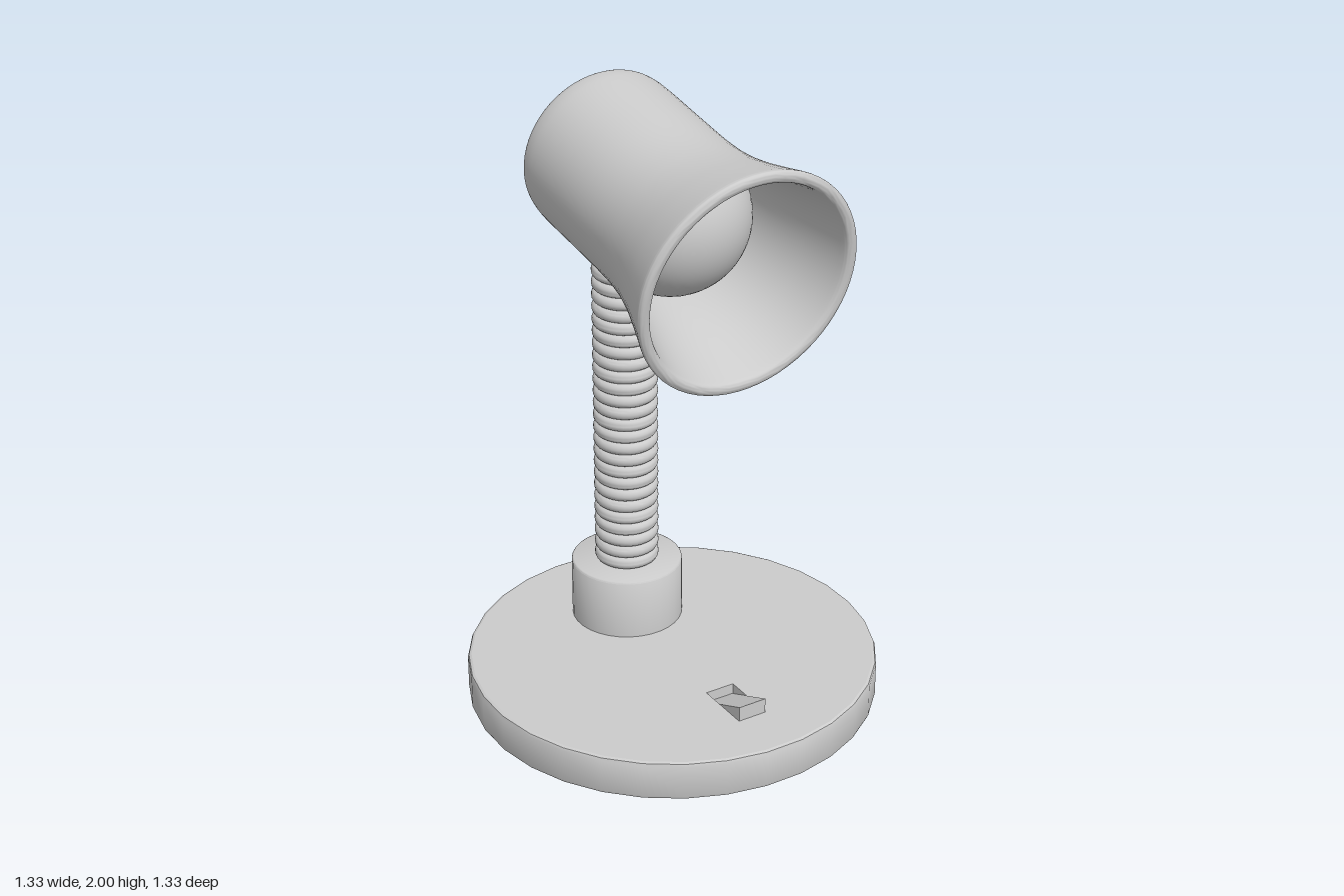
import * as THREE from 'three';
import { toCreasedNormals } from 'three/addons/utils/BufferGeometryUtils.js';

const grey = new THREE.MeshStandardMaterial({ color: 0xcccccc });
const greyInside = new THREE.MeshStandardMaterial({ color: 0xcccccc, side: THREE.BackSide });

const toPoints = (pairs) => pairs.map(([a, b]) => new THREE.Vector2(a, b));

function addMesh(parent, name, geometry, material = grey) {
  const mesh = new THREE.Mesh(geometry, material);
  mesh.name = name;
  parent.add(mesh);
  return mesh;
}

// Revolve [radius, height] pairs around the y axis, keeping hard edges sharp
function turned(pairs, sides, start = 0) {
  return toCreasedNormals(new THREE.LatheGeometry(toPoints(pairs), sides, start), 0.7);
}

// Smooth run of [radius, height] pairs through a few key points
function smoothRun(pairs, steps) {
  return new THREE.SplineCurve(toPoints(pairs)).getPoints(steps).map((p) => [p.x, p.y]);
}

export function createModel() {
  const model = new THREE.Group();
  model.name = 'deskLamp';

  // Round base with a slightly eased edge
  const sides = 32, half = Math.PI / sides, baseR = 0.67, topY = 0.133, ease = 0.012;
  addMesh(model, 'baseBody', turned([
    [0, 0], [baseR - ease, 0], [baseR - 0.0035, 0.0035], [baseR, ease],
    [baseR, topY - ease], [baseR - 0.0035, topY - 0.0035], [baseR - ease, topY],
  ], sides, half));

  // Base top with a rectangular opening for the switch
  const sw = { w: 0.05, back: 0.29, front: 0.48, floor: 0.05 };
  const disc = [];
  for (let i = 0; i < sides; i++) {
    const a = half + (i * 2 * Math.PI) / sides;
    disc.push([Math.cos(a) * (baseR - ease), Math.sin(a) * (baseR - ease)]);
  }
  const topShape = new THREE.Shape(toPoints(disc));
  topShape.holes.push(new THREE.Path(toPoints([
    [-sw.w, -sw.back], [sw.w, -sw.back], [sw.w, -sw.front], [-sw.w, -sw.front],
  ])));
  const baseTop = addMesh(model, 'baseTop', new THREE.ShapeGeometry(topShape));
  baseTop.rotation.x = -Math.PI / 2;
  baseTop.position.y = topY;

  // Switch: recess and tilted rocker
  const recess = addMesh(model, 'switchRecess',
    new THREE.BoxGeometry(sw.w * 2, topY - sw.floor, sw.front - sw.back), greyInside);
  recess.position.set(0, (topY + sw.floor) / 2, (sw.front + sw.back) / 2);
  const rockerShape = new THREE.Shape(toPoints([
    [-sw.front, sw.floor], [-sw.back, sw.floor], [-sw.back, 0.097], [-sw.front, 0.183],
  ]));
  const rocker = addMesh(model, 'switchRocker', new THREE.ExtrudeGeometry(rockerShape,
    { depth: sw.w * 2 - 0.004, bevelEnabled: false }));
  rocker.rotation.y = Math.PI / 2;
  rocker.position.x = -sw.w + 0.002;

  // Socket holding the stem
  const stemZ = -0.288, socketTop = 0.34;
  const socket = addMesh(model, 'socket', turned([
    [0.184, topY], [0.184, socketTop - 0.006], [0.182, socketTop - 0.002],
    [0.178, socketTop], [0, socketTop],
  ], sides, half));
  socket.position.z = stemZ;

  // Ribbed gooseneck stem: one rounded bulge per ring
  const rings = 26, pitch = 0.0425, profile = [];
  for (let i = 0; i < rings; i++) {
    const r = i === rings - 1 ? 0.08 : 0.088;
    for (let k = 0; k < 8; k++) {
      const a = (k / 8) * Math.PI;
      profile.push([r + 0.018 * Math.sin(a), socketTop + pitch * (i + 0.5 - 0.5 * Math.cos(a))]);
    }
  }
  profile.push([0.07, socketTop + rings * pitch], [0, socketTop + rings * pitch]);
  const stem = addMesh(model, 'stem', turned(profile, 32));
  stem.position.z = stemZ;

  // Tilted head, turned along its own axis from the rear (0) to the rim (0.925)
  const head = new THREE.Group();
  head.name = 'head';
  head.position.set(0.014, 1.735, -0.495);
  head.rotation.x = Math.PI / 2 + 0.17;
  model.add(head);
  const outer = smoothRun([
    [0.215, 0], [0.245, 0.009], [0.266, 0.03], [0.275, 0.06], [0.278, 0.12], [0.277, 0.3],
    [0.278, 0.48], [0.289, 0.6], [0.311, 0.705], [0.343, 0.81], [0.374, 0.9],
  ], 60);
  const rim = smoothRun([
    [0.374, 0.9], [0.376, 0.912], [0.37, 0.922], [0.355, 0.925], [0.342, 0.92], [0.336, 0.908],
  ], 14).slice(1);
  const inner = smoothRun([
    [0.336, 0.908], [0.31, 0.81], [0.285, 0.705], [0.268, 0.6], [0.259, 0.48],
    [0.257, 0.3], [0.255, 0.1], [0.235, 0.045],
  ], 32).slice(1);
  addMesh(head, 'shade', turned([[0, 0], ...outer, ...rim, ...inner, [0, 0.045]], 64));

  // Round bulb inside the shade
  const bulb = addMesh(head, 'bulb', new THREE.SphereGeometry(0.25, 48, 32));
  bulb.position.set(-0.004, 0.475, 0);

  return model;
}
